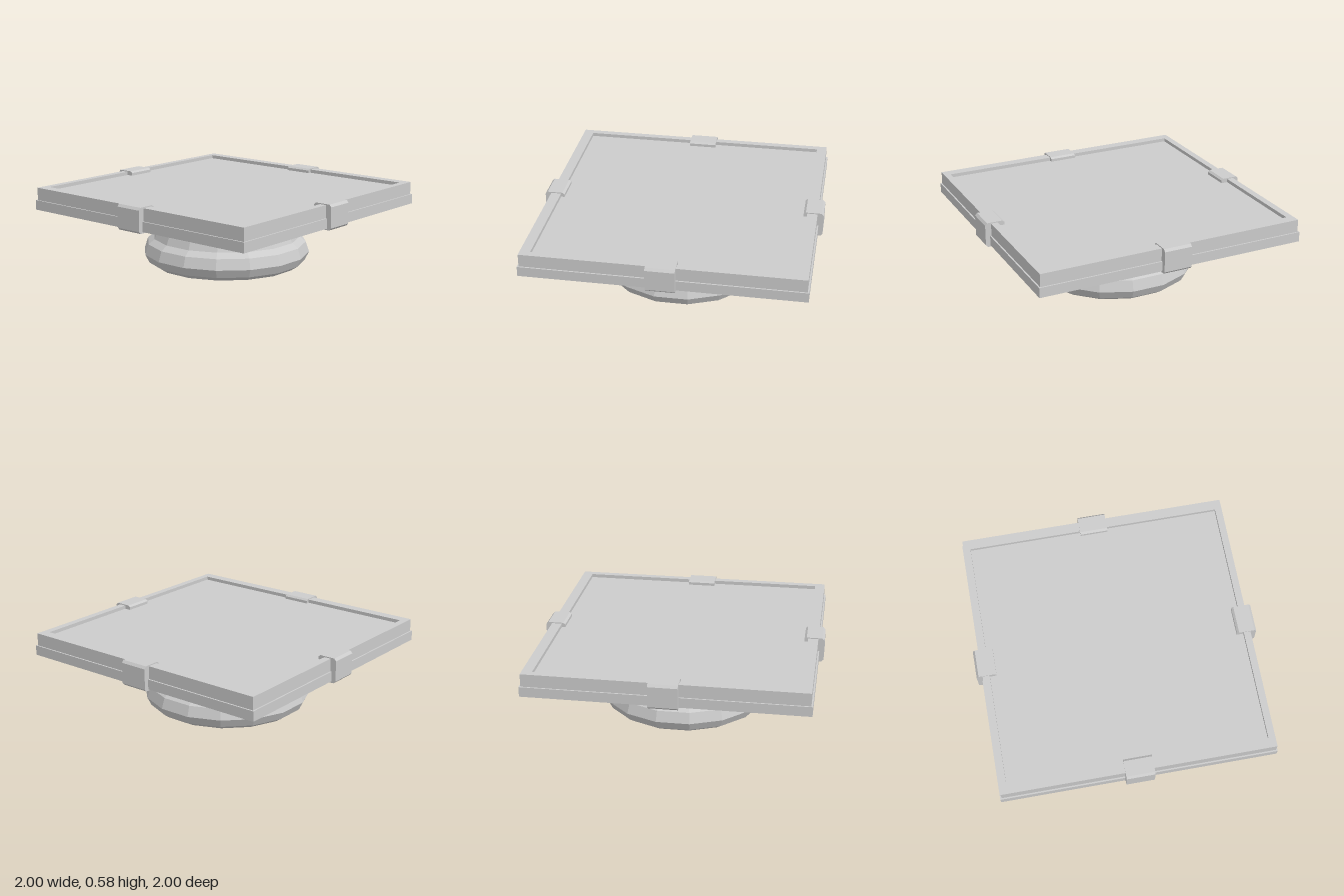
import * as THREE from 'three';

const material = new THREE.MeshStandardMaterial({ color: 0xcccccc, flatShading: true });

function addMesh(parent, name, geometry, x = 0, y = 0, z = 0) {
  const mesh = new THREE.Mesh(geometry, material);
  mesh.name = name;
  mesh.position.set(x, y, z);
  parent.add(mesh);
  return mesh;
}

function rectangle(PathType, halfX, halfZ) {
  return new PathType([
    new THREE.Vector2(-halfX, -halfZ), new THREE.Vector2(halfX, -halfZ),
    new THREE.Vector2(halfX, halfZ), new THREE.Vector2(-halfX, halfZ),
  ]);
}

export function createModel() {
  const model = new THREE.Group();
  model.name = 'squareTrayOnRoundBase';

  // Hollow faceted foot, profile runs up the outside after the inside
  const profile = [
    [0.37, 0.415], [0.42, 0.24], [0.44, 0.18], [0.47, 0.14], [0.48, 0.08], [0.44, 0.02],
    [0.46, 0.005], [0.53, 0], [0.575, 0.03], [0.605, 0.09], [0.58, 0.165],
    [0.535, 0.2], [0.515, 0.25], [0.465, 0.35], [0.405, 0.415],
  ].map(([r, y]) => new THREE.Vector2(r, y));
  const sides = 16;
  addMesh(model, 'foot', new THREE.LatheGeometry(profile, sides, Math.PI / sides));

  // Tray: protruding lower lip, recessed panel and raised rim
  const tray = new THREE.Group();
  tray.name = 'tray';
  model.add(tray);
  addMesh(tray, 'lowerLip', new THREE.BoxGeometry(1.935, 0.07, 1.935), 0, 0.445, 0);
  addMesh(tray, 'panel', new THREE.BoxGeometry(1.84, 0.065, 1.79), 0, 0.5125, 0);

  const rimShape = rectangle(THREE.Shape, 0.957, 0.957);
  rimShape.holes.push(rectangle(THREE.Path, 0.908, 0.885));
  const rim = new THREE.ExtrudeGeometry(rimShape, { depth: 0.09, bevelEnabled: false });
  rim.rotateX(-Math.PI / 2);
  addMesh(tray, 'rim', rim, 0, 0.48, 0);

  // Clamps hooked over each edge, with a strap below running in to the foot
  const hook = new THREE.Shape([
    [0.36, 0.40], [0.985, 0.40], [1.0, 0.415], [1.0, 0.56], [0.985, 0.577],
    [0.875, 0.577], [0.86, 0.565], [0.86, 0.52], [0.95, 0.52], [0.95, 0.42], [0.36, 0.42],
  ].map(([r, y]) => new THREE.Vector2(r, y)));
  const clampGeometry = new THREE.ExtrudeGeometry(hook, { depth: 0.2, bevelEnabled: false });
  clampGeometry.translate(0, 0, -0.1);
  ['left', 'back', 'right', 'front'].forEach((side, i) => {
    addMesh(model, side + 'Clamp', clampGeometry).rotation.y = (i * Math.PI) / 2;
  });

  return model;
}
